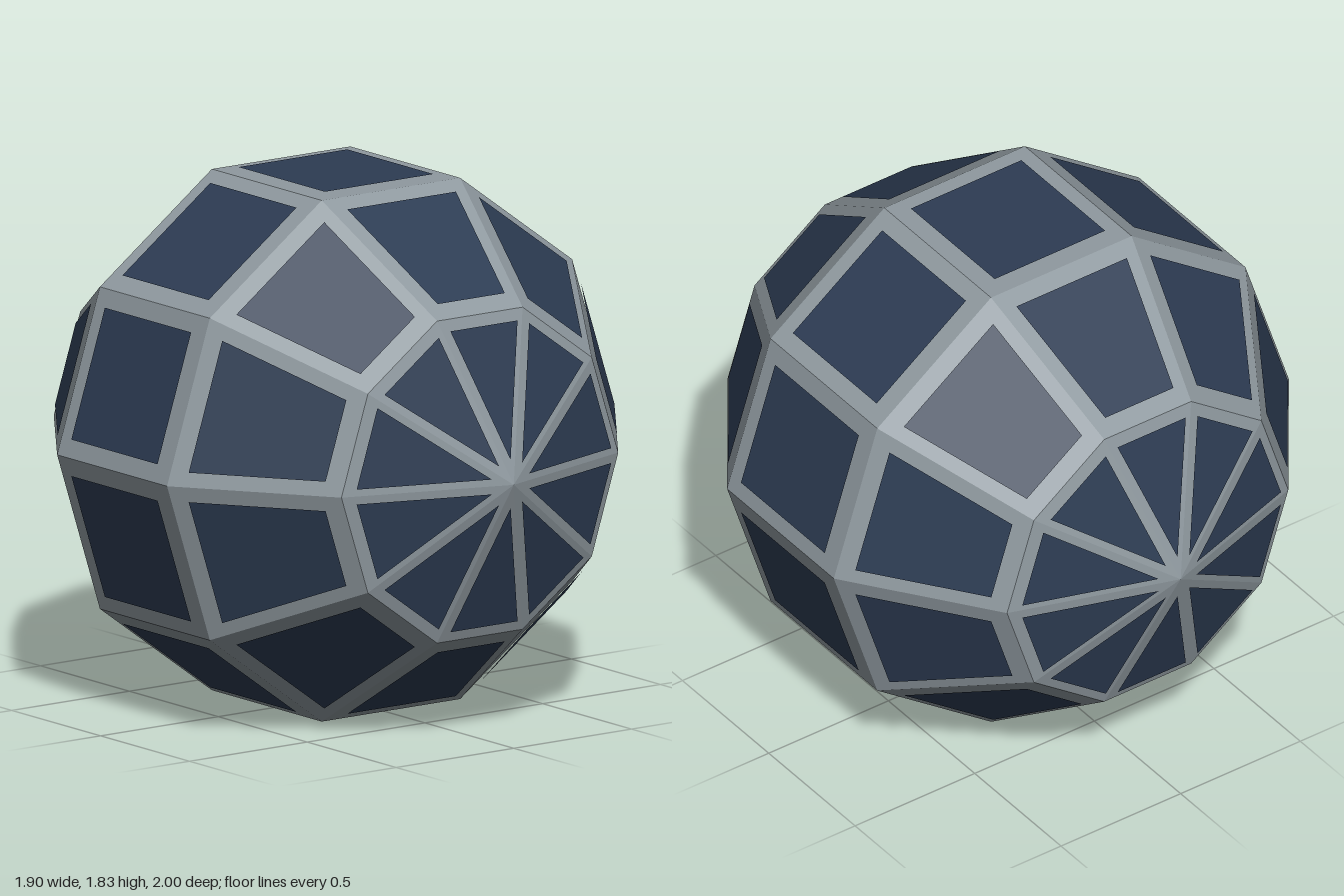
import * as THREE from 'three';

const SEGMENTS = 10, RINGS = 5, CENTRE_Y = 0.9145;
const PANEL_SCALE = 0.785, PANEL_LIFT = 0.01;

// point on the ball: ring 0 is the front pole (+z), ring 5 the back pole
function ballPoint(ring, segment) {
  const polar = (ring / RINGS) * Math.PI;
  const around = (segment / SEGMENTS) * Math.PI * 2;
  return new THREE.Vector3(
    Math.sin(polar) * Math.cos(around),
    Math.sin(polar) * Math.sin(around),
    Math.cos(polar)
  );
}

// flat panel: the facet shrunk about its centre and lifted just off the frame
function panelGeometry(corners) {
  const centre = new THREE.Vector3();
  corners.forEach((c) => centre.add(c));
  centre.divideScalar(corners.length);
  const normal = corners[1].clone().sub(corners[0])
    .cross(corners[2].clone().sub(corners[0])).normalize();
  const points = corners.map((c) =>
    c.clone().sub(centre).multiplyScalar(PANEL_SCALE).add(centre).addScaledVector(normal, PANEL_LIFT));
  const geometry = new THREE.BufferGeometry().setFromPoints(points);
  geometry.setIndex(corners.length === 3 ? [0, 1, 2] : [0, 1, 2, 0, 2, 3]);
  geometry.computeVertexNormals();
  return geometry;
}

export function createModel() {
  const model = new THREE.Group();
  model.name = 'panelledBall';

  const frameGrey = new THREE.MeshStandardMaterial({ color: 0x8f999f });
  frameGrey.name = 'frame grey';
  frameGrey.flatShading = true;
  const glassBlue = new THREE.MeshStandardMaterial({ color: 0x2d3c53 });
  glassBlue.name = 'glass blue';

  // faceted shell with its poles at front and back
  const shell = new THREE.SphereGeometry(1, SEGMENTS, RINGS);
  shell.rotateX(Math.PI / 2);
  const frame = new THREE.Mesh(shell, frameGrey);
  frame.name = 'frame';
  model.add(frame);

  // one glass panel on every facet, triangles at the poles
  const panels = new THREE.Group();
  panels.name = 'glassPanels';
  for (let ring = 0; ring < RINGS; ring++) {
    for (let s = 0; s < SEGMENTS; s++) {
      const corners = [ballPoint(ring, s), ballPoint(ring + 1, s)];
      if (ring < RINGS - 1) corners.push(ballPoint(ring + 1, s + 1));
      if (ring > 0) corners.push(ballPoint(ring, s + 1));
      const panel = new THREE.Mesh(panelGeometry(corners), glassBlue);
      panel.name = 'glassPanel';
      panels.add(panel);
    }
  }
  model.add(panels);

  frame.position.y = CENTRE_Y;
  panels.position.y = CENTRE_Y;
  return model;
}
